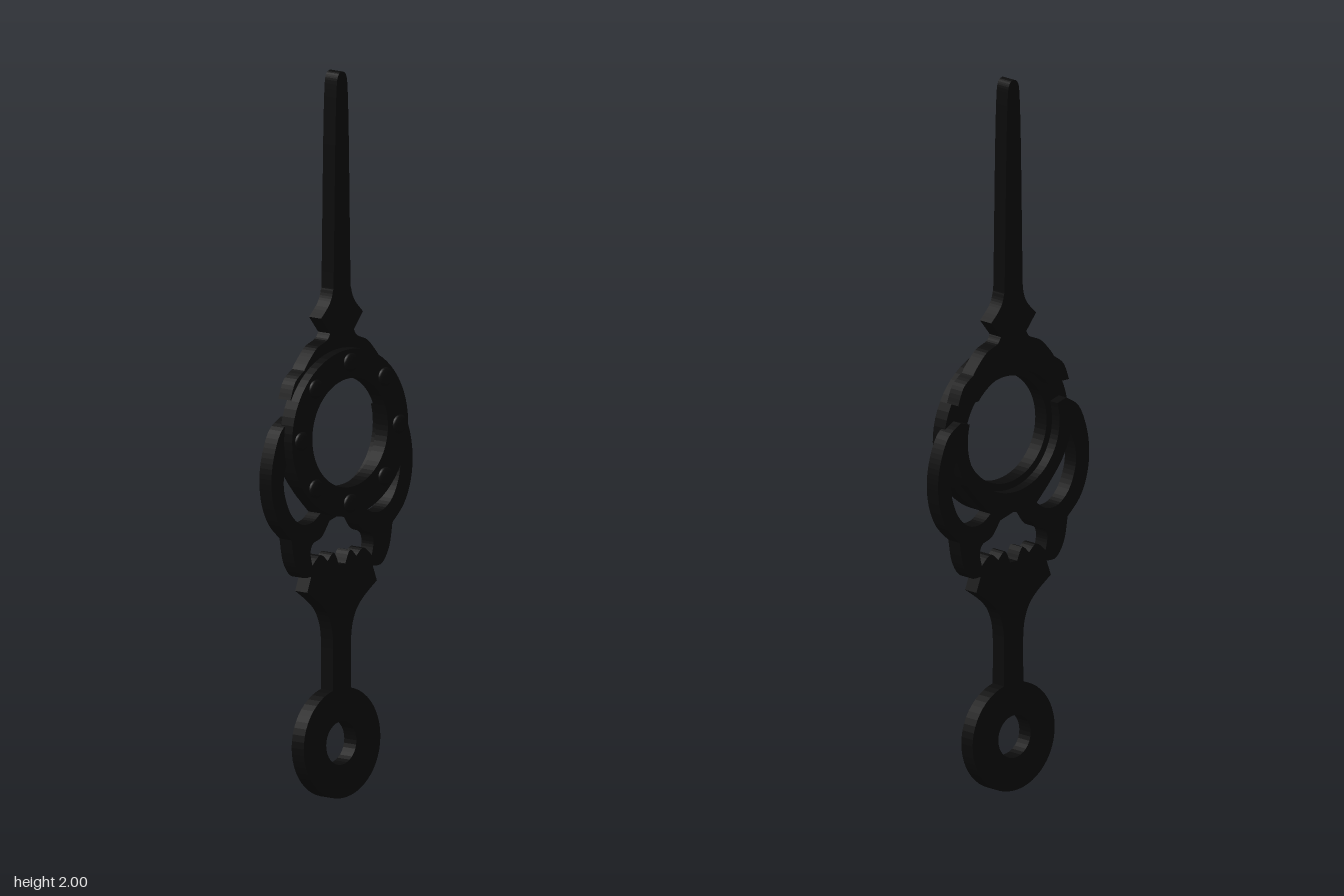
import * as THREE from 'three';

const V = (x, y) => new THREE.Vector2(x, y);
const RING_Y = 1.01;

// Joins smooth runs of points; corners stay sharp where runs meet.
function smooth(runs) {
  const out = [];
  for (const run of runs) {
    const pts = run.map(([x, y]) => V(x, y));
    out.push(...(pts.length > 2 ? new THREE.SplineCurve(pts).getPoints((pts.length - 1) * 5) : pts));
  }
  return out.filter((p, i) => i === 0 || p.distanceTo(out[i - 1]) > 1e-4);
}

// Closes a right-hand half outline with its mirror image.
function mirrored(half) {
  const other = half.filter((p) => p.x > 1e-4).map((p) => V(-p.x, p.y)).reverse();
  return [...half, ...other];
}

function arc(cx, cy, r, a0, a1, n = 24) {
  return Array.from({ length: n + 1 }, (_, i) => {
    const a = a0 + ((a1 - a0) * i) / n;
    return V(cx + r * Math.cos(a), cy + r * Math.sin(a));
  });
}

export function createModel() {
  const group = new THREE.Group();
  const black = new THREE.MeshStandardMaterial({ color: 0x0a0a0a });

  function plate(name, outline, holes, z0, z1) {
    const shape = new THREE.Shape(outline);
    holes.forEach((h) => shape.holes.push(new THREE.Path(h)));
    const geo = new THREE.ExtrudeGeometry(shape, { depth: z1 - z0, bevelEnabled: false });
    geo.translate(0, 0, z0);
    const mesh = new THREE.Mesh(geo, black);
    mesh.name = name;
    group.add(mesh);
  }

  // Upper pointer: tapered blade, collar and shoulders hugging the ring
  const pointer = [
    ...smooth([
      [[0, 2], [0.015, 1.99], [0.022, 1.95], [0.027, 1.8], [0.033, 1.45], [0.036, 1.4], [0.05, 1.365], [0.083, 1.33]],
      [[0.083, 1.33], [0.047, 1.285]],
      [[0.047, 1.285], [0.06, 1.267], [0.1, 1.25], [0.135, 1.215], [0.15, 1.195]],
      [[0.15, 1.195], [0.185, 1.168], [0.205, 1.12]],
    ]),
    ...arc(0, RING_Y, 0.17, 0.7, Math.PI / 2),
  ];
  plate('pointer', mirrored(pointer), [], -0.045, 0);

  // Lower body: mounting eye, stem, wings, lobes and side loops
  const eyeY = 0.153;
  const body = [
    ...arc(0, eyeY, 0.152, -Math.PI / 2, Math.acos(0.036 / 0.152)),
    ...smooth([
      [[0.036, 0.31], [0.036, 0.44], [0.05, 0.5], [0.08, 0.54], [0.138, 0.583]],
      [[0.138, 0.583], [0.122, 0.625]],
      [[0.122, 0.625], [0.158, 0.628], [0.187, 0.67], [0.2, 0.735]],
      [[0.2, 0.735], [0.245, 0.78], [0.272, 0.84], [0.28, 0.91], [0.268, 0.98], [0.24, 1.04], [0.195, 1.07]],
    ]),
    ...arc(0, RING_Y, 0.17, 0.3, -Math.PI / 2),
  ];
  const loopHole = smooth([
    [[0.212, 0.965], [0.229, 0.92], [0.229, 0.87], [0.205, 0.81], [0.165, 0.775], [0.12, 0.773], [0.085, 0.795]],
    [[0.085, 0.795], [0.13, 0.84], [0.18, 0.9], [0.212, 0.965]],
  ]).slice(0, -1);
  const centreHole = mirrored(smooth([
    [[0, 0.785], [0.05, 0.77]],
    [[0.05, 0.77], [0.08, 0.73], [0.115, 0.715], [0.125, 0.69], [0.118, 0.655]],
    [[0.118, 0.655], [0.085, 0.68], [0.057, 0.66]],
    [[0.057, 0.66], [0.032, 0.68], [0.013, 0.645]],
    [[0.013, 0.645], [0, 0.645]],
  ]));
  plate('body', mirrored(body), [
    loopHole,
    loopHole.map((p) => V(-p.x, p.y)),
    centreHole,
    arc(-0.003, eyeY, 0.06, 0, Math.PI * 2, 32).slice(0, -1),
  ], -0.045, 0);

  // Raised ring set on the front
  const circle = (r) => arc(0, RING_Y, r, 0, Math.PI * 2, 64).slice(0, -1);
  plate('ring', circle(0.23), [circle(0.15)], -0.015, 0.03);

  // Eight domed studs around the ring
  const studGeo = new THREE.LatheGeometry(
    [V(0.025, -0.003), V(0.026, 0.004), V(0.023, 0.008), V(0.016, 0.01), V(0, 0.011)], 20);
  studGeo.rotateX(Math.PI / 2);
  for (let i = 0; i < 8; i++) {
    const a = (i * Math.PI) / 4;
    const stud = new THREE.Mesh(studGeo, black);
    stud.name = 'stud';
    stud.position.set(0.194 * Math.cos(a), RING_Y + 0.194 * Math.sin(a), 0.03);
    group.add(stud);
  }
  return group;
}
